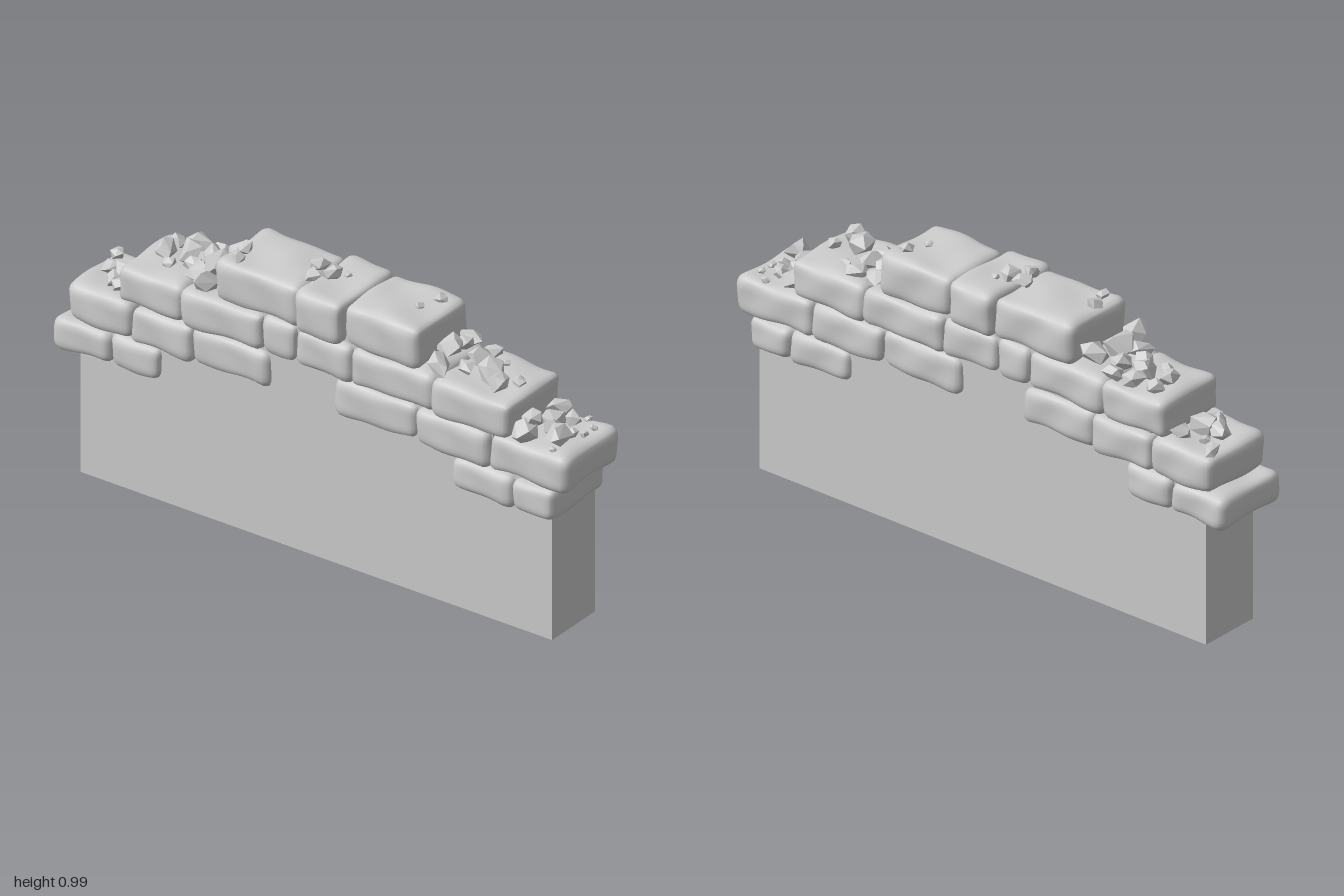
import * as THREE from 'three';
import { mergeVertices } from 'three/addons/utils/BufferGeometryUtils.js';
import { ConvexGeometry } from 'three/addons/geometries/ConvexGeometry.js';

const material = new THREE.MeshStandardMaterial({ color: 0xcccccc, roughness: 0.9 });
const rubbleMaterial = new THREE.MeshStandardMaterial({ color: 0xcccccc, roughness: 0.9, flatShading: true });

// Seeded random numbers
function seeded(seed) {
  let s = seed;
  return () => {
    s = (s * 16807) % 2147483647;
    return s / 2147483647;
  };
}

// Worn block: a subdivided box with rounded edges and gentle dents
function stoneGeometry(w, h, d, seed) {
  let g = new THREE.BoxGeometry(w, h, d, 14, 9, 14);
  g.deleteAttribute('normal');
  g.deleteAttribute('uv');
  g = mergeVertices(g, 1e-4);
  const half = new THREE.Vector3(w / 2, h / 2, d / 2);
  const r = 0.032;
  const inner = half.clone().subScalar(r);
  const p = new THREE.Vector3(), c = new THREE.Vector3(), n = new THREE.Vector3();
  const pos = g.attributes.position;
  for (let i = 0; i < pos.count; i++) {
    p.fromBufferAttribute(pos, i);
    c.copy(p).clamp(inner.clone().negate(), inner);
    n.copy(p).sub(c).normalize();
    const dent = 0.004 * Math.sin(p.x * 23 + seed * 1.7 + p.z * 15)
      + 0.003 * Math.sin(p.z * 31 + seed * 2.9 + p.y * 27);
    p.copy(c).addScaledVector(n, r + dent);
    pos.setXYZ(i, p.x, p.y, p.z);
  }
  g.computeVertexNormals();
  return g;
}

// Angular chip: hull of jittered points on a squashed sphere
function chipGeometry(size, rand) {
  const points = [];
  for (let i = 0; i < 10; i++) {
    const y = 1 - 2 * (i + 0.5) / 10;
    const a = i * 2.4 + rand() * 0.9;
    const q = Math.sqrt(1 - y * y);
    const s = size * (0.8 + rand() * 0.35);
    points.push(new THREE.Vector3(Math.cos(a) * q * s * 1.15, y * s * 0.8, Math.sin(a) * q * s));
  }
  return new ConvexGeometry(points);
}

// Plain wall with a stepped top hidden by the stones
function buildCore() {
  const steps = [[0.93, 0], [0.93, 0.6], [0.7, 0.6], [0.7, 0.74], [0.36, 0.74], [0.36, 0.88],
    [-0.32, 0.88], [-0.32, 0.74], [-0.68, 0.74], [-0.68, 0.6], [-0.91, 0.6], [-0.91, 0]];
  const shape = new THREE.Shape(steps.map(([z, y]) => new THREE.Vector2(-z, y)));
  const g = new THREE.ExtrudeGeometry(shape, { depth: 0.23, bevelEnabled: false });
  g.translate(0, 0, -0.115);
  g.rotateY(Math.PI / 2);
  const mesh = new THREE.Mesh(g, material);
  mesh.name = 'wallCore';
  return mesh;
}

// Stone courses: bottom, top, then [z start, z end, x min, x max] per block
const courses = [
  [0.437, 0.55, [
    [0.95, 0.79, -0.15, 0.15], [0.79, 0.55, -0.145, 0.14],
    [-0.59, -0.78, -0.14, 0.14], [-0.78, -0.995, -0.15, 0.145]]],
  [0.55, 0.68, [
    [1, 0.7, -0.145, 0.15], [0.7, 0.41, -0.15, 0.145], [0.41, 0.09, -0.14, 0.14],
    [-0.17, -0.46, -0.14, 0.14], [-0.46, -0.7, -0.15, 0.15], [-0.7, -0.95, -0.14, 0.145]]],
  [0.68, 0.81, [
    [0.78, 0.48, -0.155, 0.148], [0.48, 0.16, -0.145, 0.15], [0.16, -0.06, -0.145, 0.14],
    [-0.06, -0.19, -0.135, 0.135], [-0.19, -0.5, -0.15, 0.14], [-0.5, -0.75, -0.145, 0.145]]],
  [0.81, 0.956, [
    [0.42, 0.13, -0.14, 0.143], [0.13, -0.05, -0.16, 0.157], [-0.05, -0.37, -0.14, 0.14]]],
];

function buildStones() {
  const group = new THREE.Group();
  group.name = 'stoneCourses';
  let seed = 1;
  courses.forEach(([y0, y1, blocks], row) => {
    const course = new THREE.Group();
    course.name = `course${row + 1}`;
    for (const [z0, z1, x0, x1] of blocks) {
      const stone = new THREE.Mesh(stoneGeometry(x1 - x0, y1 - y0 + 0.003, z0 - z1 + 0.004, seed), material);
      stone.position.set((x0 + x1) / 2, (y0 + y1) / 2, (z0 + z1) / 2);
      stone.rotation.x = 0.012 * Math.sin(seed * 4.1);
      stone.name = 'stone';
      course.add(stone);
      seed++;
    }
    group.add(course);
  });
  return group;
}

// Rubble piles: ledge height, then [x, height above ledge, z, radius] per chip
const piles = {
  frontLowerRubble: [0.68, [
    [-0.1, 0.03, 0.81, 0.045], [-0.07, 0.035, 0.92, 0.045], [0.03, 0.025, 0.83, 0.045],
    [0.09, 0.03, 0.81, 0.04], [-0.03, 0.03, 0.87, 0.035], [-0.06, 0.05, 0.81, 0.04],
    [0.07, 0.02, 0.88, 0.03], [0.08, 0.005, 0.95, 0.014], [0.03, 0.005, 0.95, 0.016],
    [0.12, 0.005, 0.9, 0.015], [-0.11, 0.005, 0.93, 0.014], [0, 0.01, 0.92, 0.022]]],
  frontUpperRubble: [0.81, [
    [-0.1, 0.03, 0.48, 0.045], [-0.04, 0.035, 0.64, 0.055], [-0.08, 0.03, 0.7, 0.04],
    [0.03, 0.025, 0.55, 0.04], [0.1, 0.03, 0.46, 0.04], [0, 0.045, 0.45, 0.045],
    [0.09, 0.015, 0.55, 0.035], [-0.05, 0.02, 0.55, 0.035], [0.05, 0.04, 0.47, 0.035],
    [0.06, 0.01, 0.62, 0.02], [-0.01, 0.01, 0.73, 0.025]]],
  topRubble: [0.953, [
    [0, 0.006, 0.33, 0.016], [0.07, 0.01, 0.36, 0.022], [-0.06, 0.015, -0.05, 0.03],
    [0, 0.015, -0.01, 0.035], [0.01, 0.018, -0.07, 0.032], [0.03, 0.005, 0.03, 0.016],
    [-0.03, 0.01, -0.33, 0.03], [-0.09, 0.01, -0.31, 0.026]]],
  backUpperRubble: [0.81, [
    [-0.12, 0.04, -0.42, 0.045], [-0.02, 0.05, -0.44, 0.06], [0.08, 0.05, -0.42, 0.05],
    [-0.06, 0.03, -0.49, 0.045], [0.04, 0.03, -0.5, 0.045], [-0.02, 0.025, -0.54, 0.035],
    [0.03, 0.03, -0.59, 0.045], [0.1, 0.025, -0.6, 0.04], [0.01, 0.02, -0.67, 0.04],
    [0.08, 0.015, -0.67, 0.035], [0.1, 0.025, -0.52, 0.035], [-0.04, 0.01, -0.62, 0.025]]],
  backLowerRubble: [0.68, [
    [0, 0.025, -0.87, 0.04], [0, 0.03, -0.81, 0.05], [-0.07, 0.02, -0.78, 0.035],
    [0.1, 0.015, -0.92, 0.03], [0.08, 0.025, -0.78, 0.035], [-0.05, 0.02, -0.82, 0.035],
    [0.05, 0.01, -0.85, 0.022]]],
};

function buildRubble() {
  const group = new THREE.Group();
  group.name = 'rubble';
  const rand = seeded(4217);
  for (const [name, [ledge, chips]] of Object.entries(piles)) {
    const pile = new THREE.Group();
    pile.name = name;
    for (const [x, y, z, size] of chips) {
      const chip = new THREE.Mesh(chipGeometry(size, rand), rubbleMaterial);
      chip.position.set(x, ledge + y, z);
      chip.rotation.set(rand() * 0.9 - 0.45, rand() * 6.28, rand() * 0.9 - 0.45);
      chip.name = 'chip';
      pile.add(chip);
    }
    group.add(pile);
  }
  return group;
}

export function createModel() {
  const model = new THREE.Group();
  model.name = 'ruinedWall';
  model.add(buildCore(), buildStones(), buildRubble());
  return model;
}
